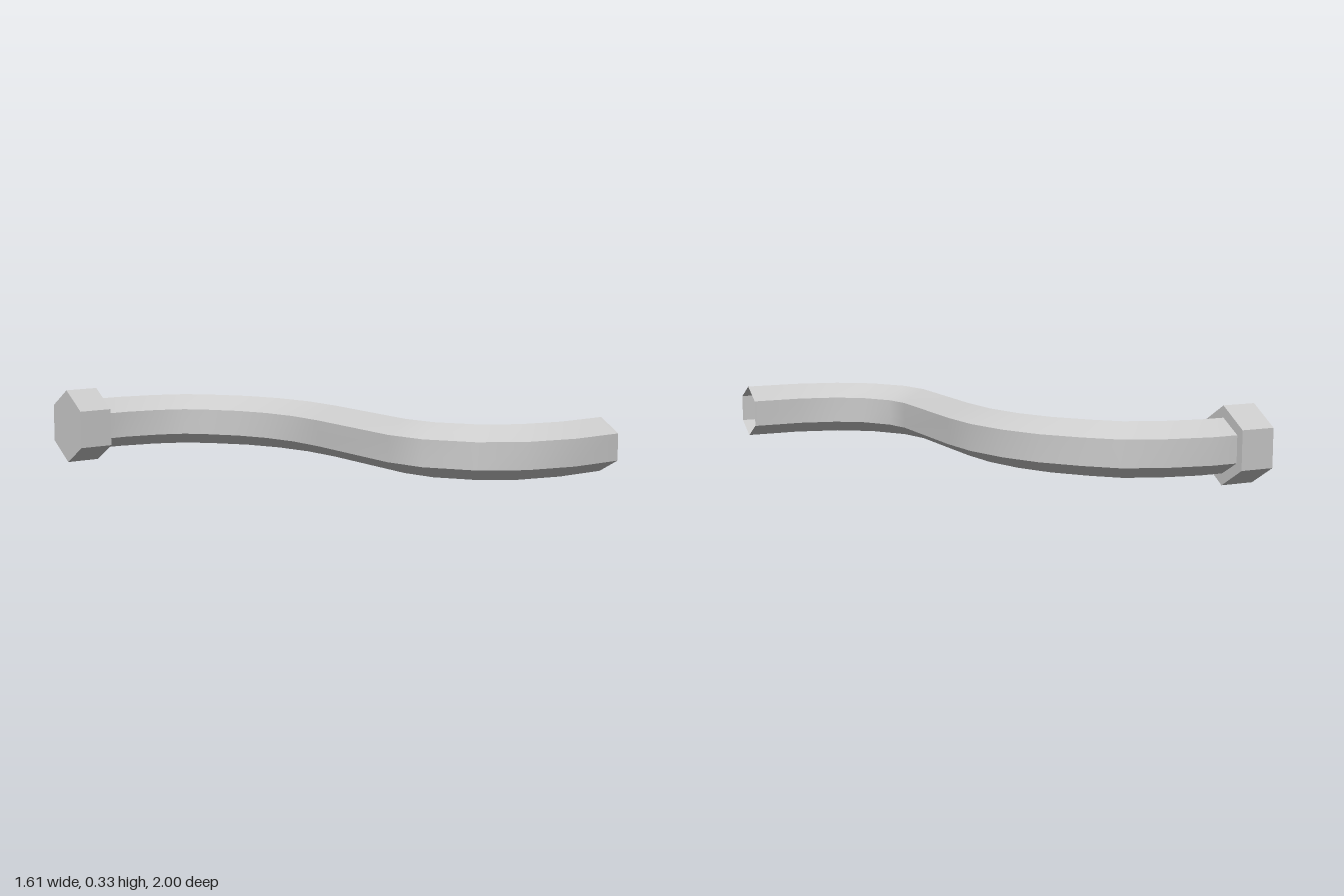
import * as THREE from 'three';
import { mergeGeometries } from 'three/addons/utils/BufferGeometryUtils.js';

const CENTRE_Y = 0.165;

// Centre line of the bar, as [x, z]
const PATH = [
  [-0.68, -0.865], [-0.55, -0.865], [-0.376, -0.83], [-0.24, -0.772], [-0.143, -0.677],
  [-0.037, -0.545], [0.037, -0.397], [0.085, -0.225], [0.1, -0.04], [0.097, 0.46],
  [0.132, 0.605], [0.238, 0.757], [0.38, 0.85], [0.57, 0.896], [0.803, 0.896],
].map(([x, z]) => new THREE.Vector2(x, z));

// Hexagonal ring at path point i, mitred between its neighbouring segments
function ring(i, radius) {
  const p = PATH[i];
  const before = p.clone().sub(PATH[Math.max(i - 1, 0)]).normalize();
  const after = PATH[Math.min(i + 1, PATH.length - 1)].clone().sub(p).normalize();
  const dir = before.clone().add(after).normalize();
  const mitre = 1 / Math.max(dir.dot(after), dir.dot(before));
  return Array.from({ length: 6 }, (_, k) => {
    const a = (k * Math.PI) / 3;
    const side = Math.sin(a) * radius * mitre;
    return [p.x - dir.y * side, CENTRE_Y + Math.cos(a) * radius, p.y + dir.x * side];
  });
}

// Six strips, smooth along the bend and sharp at the ridges
function hexTube(radius) {
  const rings = PATH.map((_, i) => ring(i, radius));
  const strips = [];
  for (let k = 0; k < 6; k++) {
    const positions = [];
    const index = [];
    rings.forEach((r, i) => {
      positions.push(...r[k], ...r[(k + 1) % 6]);
      if (i === 0) return;
      const a = 2 * (i - 1);
      index.push(a, a + 2, a + 1, a + 1, a + 2, a + 3);
    });
    const g = new THREE.BufferGeometry();
    g.setAttribute('position', new THREE.Float32BufferAttribute(positions, 3));
    g.setIndex(index);
    g.computeVertexNormals();
    strips.push(g);
  }
  return mergeGeometries(strips);
}

export function createModel() {
  const group = new THREE.Group();

  // S-shaped hollow bar, open at the free end
  const bar = new THREE.Mesh(
    hexTube(0.115),
    new THREE.MeshStandardMaterial({ color: 0xcccccc, side: THREE.DoubleSide })
  );
  bar.name = 'curvedBar';
  group.add(bar);

  // Hexagonal head closing the other end
  const headGeometry = new THREE.CylinderGeometry(0.165, 0.165, 0.15, 6);
  headGeometry.rotateY(Math.PI / 2).rotateZ(Math.PI / 2);
  headGeometry.scale(1, 1, 0.137 / (0.165 * Math.cos(Math.PI / 6)));
  const head = new THREE.Mesh(
    headGeometry,
    new THREE.MeshStandardMaterial({ color: 0xcccccc, flatShading: true })
  );
  head.name = 'hexHead';
  head.position.set(-0.733, CENTRE_Y, -0.863);
  group.add(head);

  return group;
}
